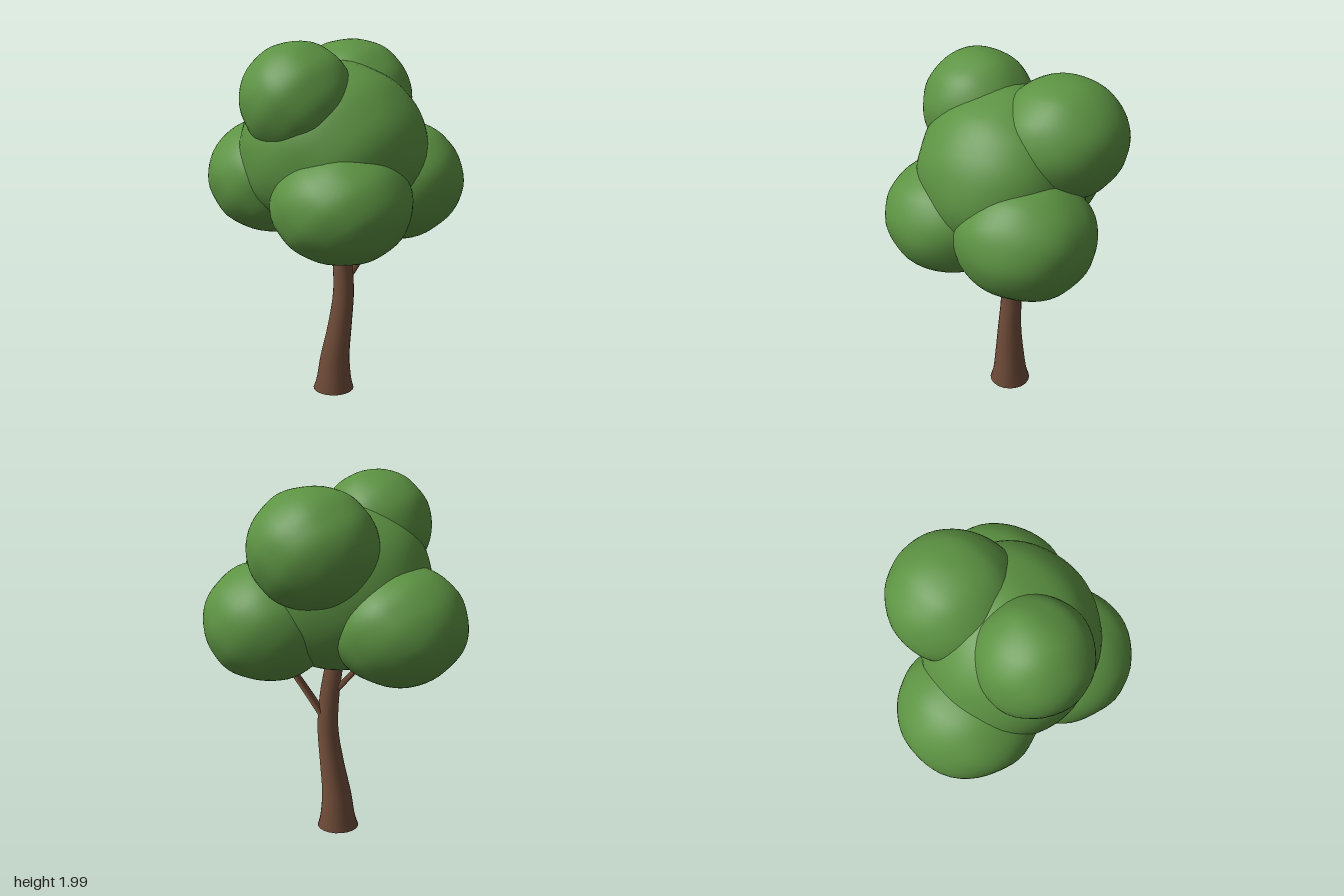
import * as THREE from 'three';
import { mergeVertices } from 'three/addons/utils/BufferGeometryUtils.js';

const leafGreen = new THREE.MeshStandardMaterial({ color: 0x5d9343 });
const barkBrown = new THREE.MeshStandardMaterial({ color: 0x744f3b });

// Smooth, slightly lumpy ellipsoid
function foliage(name, center, radii, seed) {
  let geo = new THREE.IcosahedronGeometry(1, 9);
  geo.deleteAttribute('normal');
  geo.deleteAttribute('uv');
  geo = mergeVertices(geo, 1e-4);
  const pos = geo.attributes.position;
  const v = new THREE.Vector3();
  for (let i = 0; i < pos.count; i++) {
    v.fromBufferAttribute(pos, i).normalize();
    const lump = Math.sin(5 * v.x + seed) * Math.sin(5 * v.y + 2 * seed) * Math.sin(5 * v.z + 3 * seed)
      + 0.4 * Math.sin(9 * v.x + 4 * v.z + seed) * Math.sin(9 * v.y - seed);
    v.multiplyScalar(1 + 0.016 * lump);
    pos.setXYZ(i, v.x * radii[0], v.y * radii[1], v.z * radii[2]);
  }
  geo.computeVertexNormals();
  const mesh = new THREE.Mesh(geo, leafGreen);
  mesh.name = name;
  mesh.position.set(...center);
  return mesh;
}

// Capped limb with level rings; each stop is [x, y, z, radius]
function limb(name, stops, rings, sides) {
  const geo = new THREE.CylinderGeometry(1, 1, 1, sides, rings);
  const path = new THREE.CatmullRomCurve3(stops.map(s => new THREE.Vector3(s[0], s[1], s[2])));
  const width = new THREE.CatmullRomCurve3(stops.map(s => new THREE.Vector3(s[3], s[1], 0)));
  const pos = geo.attributes.position;
  for (let i = 0; i < pos.count; i++) {
    const t = pos.getY(i) + 0.5;
    const p = path.getPoint(t);
    const r = width.getPoint(t).x;
    pos.setXYZ(i, p.x + pos.getX(i) * r, p.y, p.z + pos.getZ(i) * r);
  }
  const mesh = new THREE.Mesh(geo, barkBrown);
  mesh.name = name;
  return mesh;
}

export function createModel() {
  const tree = new THREE.Group();
  tree.name = 'tree';

  // Curved trunk with flared foot
  const trunk = limb('trunk', [
    [-0.008, 0.008, -0.032, 0.115],
    [-0.006, 0.06, -0.032, 0.1],
    [0.0, 0.2, -0.03, 0.083],
    [0.028, 0.4, -0.03, 0.067],
    [0.048, 0.6, -0.038, 0.058],
    [0.037, 0.8, -0.04, 0.054],
    [0.015, 0.95, -0.04, 0.05],
    [0.0, 1.1, -0.04, 0.045],
  ], 28, 20);
  tree.add(trunk);

  // Side branches
  tree.add(limb('leftBranch', [
    [0.07, 0.67, -0.052, 0.026], [0.15, 0.8, -0.06, 0.025], [0.3, 1.03, -0.075, 0.022],
  ], 6, 12));
  tree.add(limb('rightBranch', [
    [0.03, 0.79, -0.04, 0.023], [-0.05, 0.88, -0.055, 0.021], [-0.2, 1.06, -0.08, 0.018],
  ], 6, 12));

  // Leaf masses
  const masses = [
    ['middleFoliage', [-0.005, 1.41, 0], [0.505, 0.47, 0.455]],
    ['frontFoliage', [0.04, 1.18, 0.27], [0.37, 0.31, 0.365]],
    ['leftFoliage', [0.35, 1.225, -0.115], [0.352, 0.325, 0.366]],
    ['rightFoliage', [-0.34, 1.235, -0.17], [0.365, 0.32, 0.37]],
    ['upperBackFoliage', [0.085, 1.65, -0.295], [0.337, 0.315, 0.34]],
    ['upperFrontFoliage', [-0.19, 1.7, 0.135], [0.3, 0.3, 0.297]],
  ];
  masses.forEach(([name, center, radii], i) => tree.add(foliage(name, center, radii, 1 + i * 1.7)));
  return tree;
}
